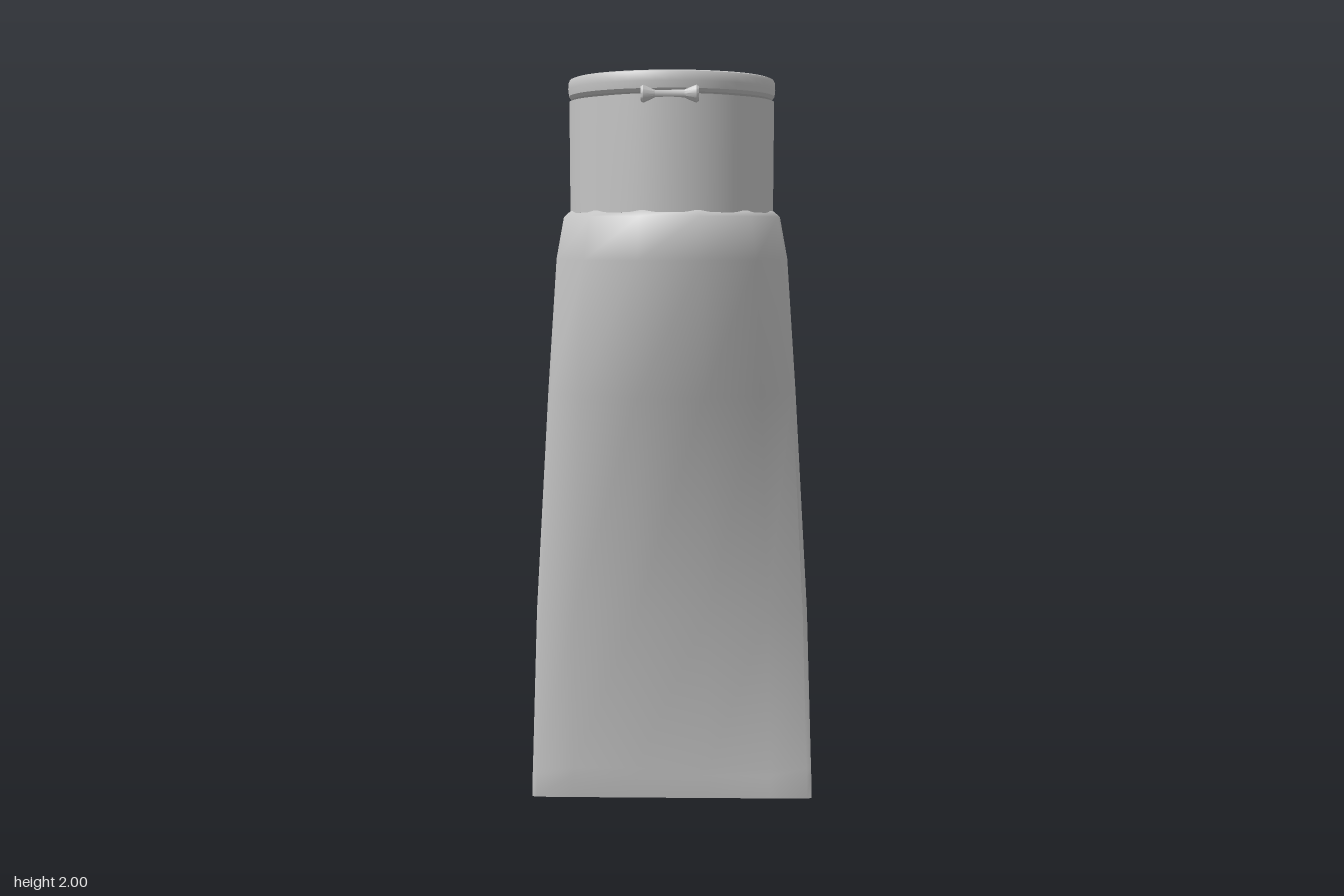
import * as THREE from 'three';
import { toCreasedNormals } from 'three/addons/utils/BufferGeometryUtils.js';

const plastic = new THREE.MeshStandardMaterial({ color: 0xc4c4c4 });
plastic.name = 'grey plastic';

function part(name, geometry) {
  const mesh = new THREE.Mesh(geometry, plastic);
  mesh.name = name;
  return mesh;
}

// Squeezed tube: a flat crimped seam at the bottom growing into a round shoulder.
function tubeGeometry() {
  // height, half width, half depth, exponent (small = slab, 1 = ellipse, more = lens)
  const sections = [
    [0, 0.4, 0.006, 0.2],
    [0.07, 0.398, 0.013, 0.3],
    [0.09, 0.397, 0.013, 0.6],
    [0.55, 0.379, 0.064, 1.2],
    [1.17, 0.339, 0.197, 1.15],
    [1.53, 0.312, 0.31, 1],
    [1.64, 0.291, 0.291, 1],
    [1.655, 0.274, 0.274, 1],
  ];
  // twelve sided, with an extra corner on each side edge
  const angles = [0, 15, 45, 75, 105, 135, 165, 180, 195, 225, 255, 285, 315, 345];
  const n = angles.length;
  const positions = [];
  const index = [];
  for (const [y, rx, rz, p] of sections) {
    for (const degrees of angles) {
      const a = THREE.MathUtils.degToRad(degrees);
      const s = Math.abs(Math.sin(a)) < 1e-6 ? 0 : Math.sin(a);
      positions.push(rx * Math.cos(a), y, rz * Math.sign(s) * Math.abs(s) ** p);
    }
  }
  for (let r = 0; r < sections.length - 1; r++) {
    for (let i = 0; i < n; i++) {
      const a = r * n + i;
      const b = r * n + ((i + 1) % n);
      index.push(a, a + n, b, b, a + n, b + n);
    }
  }
  // close both ends
  const top = (sections.length - 1) * n;
  for (let i = 1; i < n - 1; i++) {
    index.push(0, i, i + 1);
    index.push(top, top + i + 1, top + i);
  }
  const geometry = new THREE.BufferGeometry();
  geometry.setAttribute('position', new THREE.Float32BufferAttribute(positions, 3));
  geometry.setIndex(index);
  return toCreasedNormals(geometry, 0.9);
}

// Cap wall with a rounded thumb recess pressed flat into the back.
function capGeometry() {
  const bottom = 1.65, topY = 1.94, radius = 0.272;
  const geometry = new THREE.CylinderGeometry(radius, radius, topY - bottom, 120, 44);
  geometry.translate(0, (bottom + topY) / 2, 0);
  const position = geometry.attributes.position;
  const corner = 0.06, halfWidth = 0.132, floor = 1.785;
  for (let i = 0; i < position.count; i++) {
    const x = position.getX(i), y = position.getY(i), z = position.getZ(i);
    if (z > -0.2) continue;
    const dx = Math.abs(x) - halfWidth + corner;
    const dy = floor + corner - y;
    const distance = Math.hypot(Math.max(dx, 0), Math.max(dy, 0))
      + Math.min(Math.max(dx, dy), 0) - corner;
    const press = 1 - THREE.MathUtils.smoothstep(distance, -0.014, 0.002);
    position.setZ(i, THREE.MathUtils.lerp(z, Math.max(z, -0.238), press));
  }
  return toCreasedNormals(geometry, 0.9);
}

function lathe(points, segments) {
  const profile = points.map(([r, y]) => new THREE.Vector2(r, y));
  return toCreasedNormals(new THREE.LatheGeometry(profile, segments), 0.6);
}

export function createModel() {
  const group = new THREE.Group();
  group.name = 'squeezeTube';

  group.add(part('tubeBody', tubeGeometry()));
  group.add(part('capWall', capGeometry()));

  // narrow parting groove between cap and lid
  group.add(part('capGroove', lathe([[0.225, 1.93], [0.225, 1.955]], 48)));

  // flip lid with softened rim
  group.add(part('flipLid', lathe([
    [0, 1.946], [0.266, 1.946], [0.273, 1.954], [0.275, 1.972],
    [0.274, 1.988], [0.27, 1.996], [0.262, 1.999], [0, 2],
  ], 48)));

  // hinge: thin bar flaring at both ends
  const hinge = part('hinge', lathe([
    [0, -0.072], [0.018, -0.072], [0.022, -0.066], [0.01, -0.036],
    [0.009, 0.036], [0.022, 0.066], [0.018, 0.072], [0, 0.072],
  ], 12));
  hinge.rotation.z = Math.PI / 2;
  hinge.scale.z = 0.7;
  hinge.position.set(0, 1.94, 0.268);
  group.add(hinge);

  return group;
}
